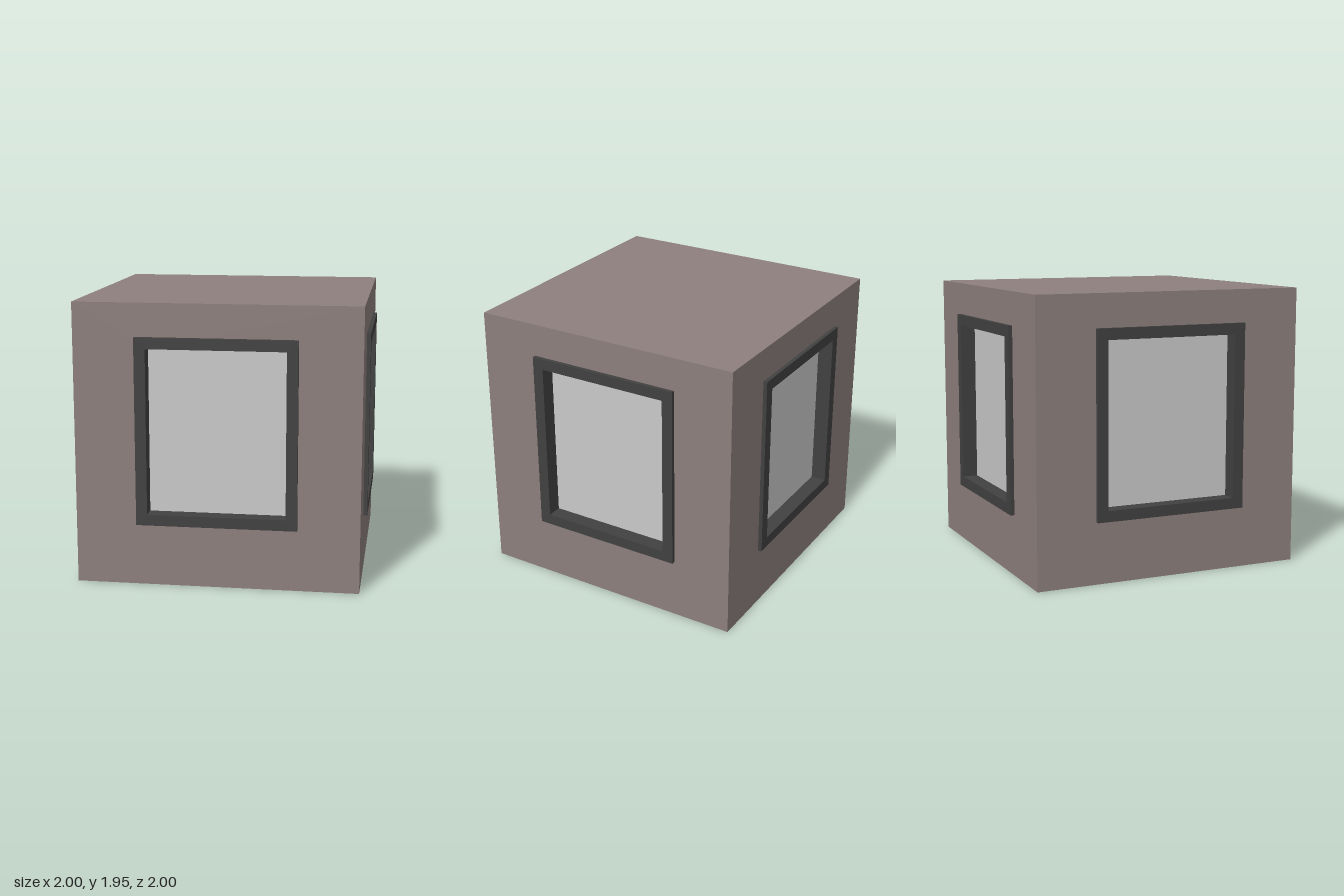
import * as THREE from 'three';

const HALF = 0.9725;             // half the cube's width
const HEIGHT = HALF * 2;
const OUTER = { x: 0.55, y0: 0.427, y1: 1.717 };  // frame outline
const INNER = { x: 0.473, y0: 0.503, y1: 1.64 };  // window opening
const FRONT = 1.0;               // front face of the frame
const PANE = 0.893;              // depth of the recessed pane

// Rectangle outline, used for both shapes and holes
function rect(Type, { x, y0, y1 }) {
  const p = new Type();
  p.moveTo(-x, y0);
  p.lineTo(x, y0);
  p.lineTo(x, y1);
  p.lineTo(-x, y1);
  p.closePath();
  return p;
}

function withHole(outer, inner) {
  const shape = rect(THREE.Shape, outer);
  shape.holes.push(rect(THREE.Path, inner));
  return shape;
}

export function createModel() {
  const wallMat = new THREE.MeshStandardMaterial({ color: 0x8d7f7d });
  wallMat.name = 'mauve wall';
  const frameMat = new THREE.MeshStandardMaterial({ color: 0x404140 });
  frameMat.name = 'charcoal frame';
  const paneMat = new THREE.MeshStandardMaterial({ color: 0xc9c9c9 });
  paneMat.name = 'pale grey pane';

  const model = new THREE.Group();
  model.name = 'windowedCube';

  function add(parent, name, geometry, material) {
    const mesh = new THREE.Mesh(geometry, material);
    mesh.name = name;
    parent.add(mesh);
    return mesh;
  }

  // Wall sheet with its opening, projecting frame and recessed pane
  const wallGeo = new THREE.ShapeGeometry(withHole({ x: HALF, y0: 0, y1: HEIGHT }, INNER));
  wallGeo.translate(0, 0, HALF);
  const frameGeo = new THREE.ExtrudeGeometry(withHole(OUTER, INNER), {
    depth: FRONT - PANE, bevelEnabled: false,
  });
  frameGeo.translate(0, 0, PANE);
  const paneGeo = new THREE.PlaneGeometry(INNER.x * 2, INNER.y1 - INNER.y0);
  paneGeo.translate(0, (INNER.y0 + INNER.y1) / 2, PANE);

  // The same side repeated around the cube
  ['front', 'left', 'back', 'right'].forEach((name, i) => {
    const side = new THREE.Group();
    side.name = name + 'Side';
    side.rotation.y = i * Math.PI / 2;
    add(side, name + 'Wall', wallGeo, wallMat);
    add(side, name + 'WindowFrame', frameGeo, frameMat);
    add(side, name + 'WindowPane', paneGeo, paneMat);
    model.add(side);
  });

  // Roof and floor
  const slabGeo = new THREE.PlaneGeometry(HALF * 2, HALF * 2);
  const roof = add(model, 'roof', slabGeo, wallMat);
  roof.rotation.x = -Math.PI / 2;
  roof.position.y = HEIGHT;
  const floor = add(model, 'floor', slabGeo, wallMat);
  floor.rotation.x = Math.PI / 2;

  return model;
}
